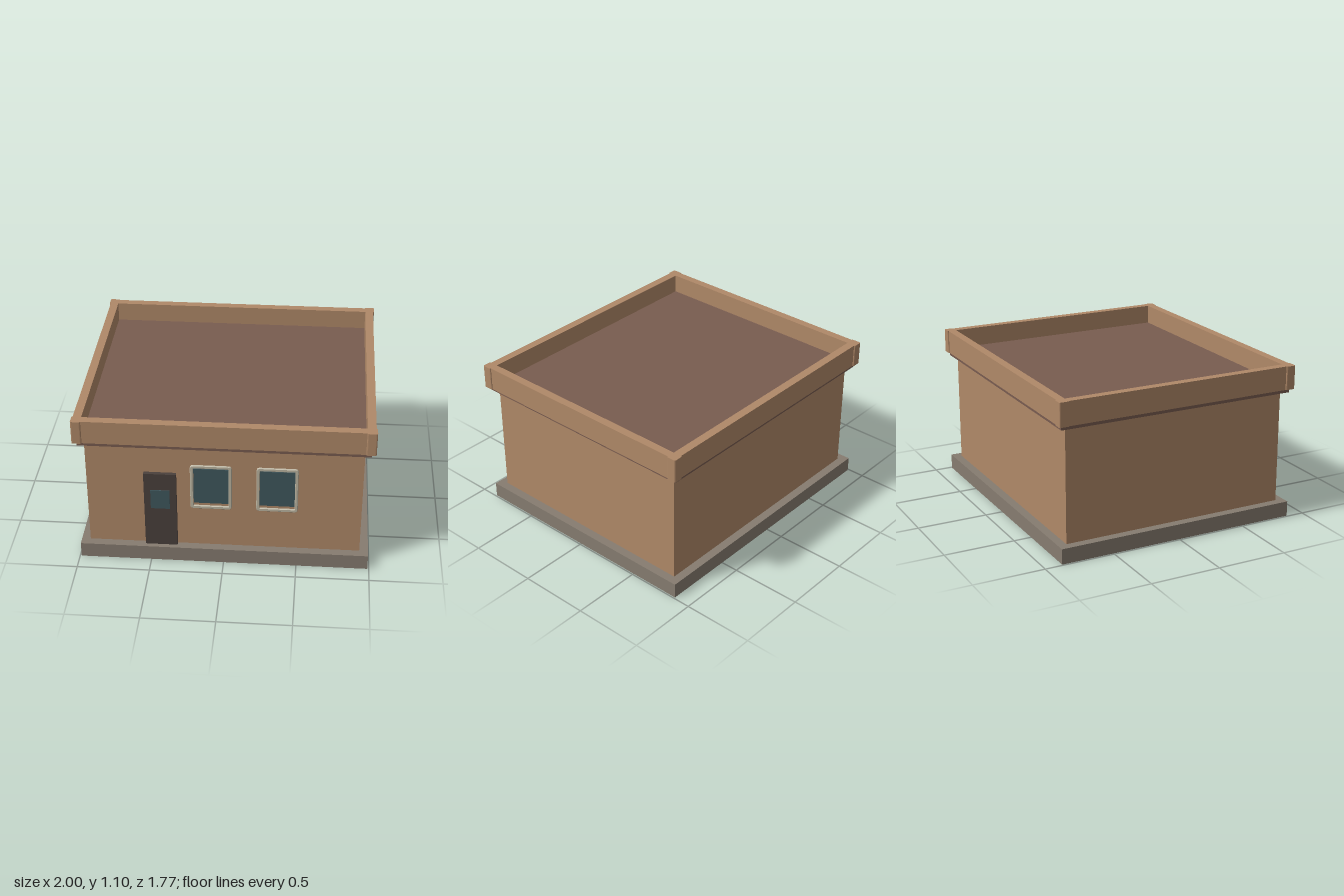
import * as THREE from 'three';

const paint = (color) => new THREE.MeshStandardMaterial({ color, flatShading: true });

// Rectangle with rounded corners, centred on the origin
function roundedRect(target, w, h, r) {
  const x = w / 2, y = h / 2;
  target.moveTo(-x + r, -y);
  target.lineTo(x - r, -y);
  target.quadraticCurveTo(x, -y, x, -y + r);
  target.lineTo(x, y - r);
  target.quadraticCurveTo(x, y, x - r, y);
  target.lineTo(-x + r, y);
  target.quadraticCurveTo(-x, y, -x, y - r);
  target.lineTo(-x, -y + r);
  target.quadraticCurveTo(-x, -y, -x + r, -y);
  return target;
}

export function createModel() {
  const model = new THREE.Group();
  model.name = 'flatRoofHouse';

  const stucco = paint(0xb08968);
  const concrete = paint(0x867c70);
  const roofing = paint(0x795c50);
  const doorPaint = paint(0x4a403c);
  const glass = paint(0x3f575d);
  const trim = paint(0xbdb6a2);

  function add(name, geometry, material, x = 0, y = 0, z = 0, parent = model) {
    const mesh = new THREE.Mesh(geometry, material);
    mesh.name = name;
    mesh.position.set(x, y, z);
    parent.add(mesh);
    return mesh;
  }

  // Box given by its two extremes on each axis
  function box(name, material, [x0, x1], [y0, y1], [z0, z1], parent = model) {
    return add(name, new THREE.BoxGeometry(x1 - x0, y1 - y0, z1 - z0), material,
      (x0 + x1) / 2, (y0 + y1) / 2, (z0 + z1) / 2, parent);
  }

  // Main volumes
  box('foundation', concrete, [-0.99, 0.99], [0, 0.108], [-0.875, 0.875]);
  box('walls', stucco, [-0.93, 0.93], [0.108, 0.908], [-0.815, 0.815]);
  box('roofSlab', roofing, [-0.97, 0.97], [0.908, 0.966], [-0.86, 0.86]);

  // Parapet: four walls between rounded corner posts
  const parapet = new THREE.Group();
  parapet.name = 'parapet';
  model.add(parapet);
  const rise = [0.937, 1.103];
  for (const s of [-1, 1]) {
    const sideName = s > 0 ? 'leftParapet' : 'rightParapet';
    const faceName = s > 0 ? 'frontParapet' : 'backParapet';
    box(sideName, stucco, s > 0 ? [0.935, 0.992] : [-0.992, -0.935], rise, [-0.82, 0.82], parapet);
    box(faceName, stucco, [-0.935, 0.935], rise, s > 0 ? [0.817, 0.876] : [-0.876, -0.817], parapet);
  }
  const postGeometry = new THREE.ExtrudeGeometry(roundedRect(new THREE.Shape(), 0.068, 0.07, 0.01), {
    depth: rise[1] - rise[0], bevelEnabled: false, curveSegments: 3,
  });
  postGeometry.rotateX(-Math.PI / 2);
  for (const sx of [-1, 1]) {
    for (const sz of [-1, 1]) {
      add('cornerPost', postGeometry, stucco, sx * 0.966, rise[0], sz * 0.85, parapet);
    }
  }

  // Door with a small pane
  box('door', doorPaint, [-0.54, -0.32], [0.108, 0.69], [0.813, 0.842]);
  box('doorPane', glass, [-0.495, -0.365], [0.415, 0.562], [0.835, 0.849]);

  // Windows: glass panel with a bevelled frame standing just proud of it
  const frameShape = roundedRect(new THREE.Shape(), 0.27, 0.34, 0.018);
  frameShape.holes.push(roundedRect(new THREE.Path(), 0.25, 0.32, 0.012));
  const outer = roundedRect(new THREE.Shape(), 0.272, 0.34, 0.018);
  outer.holes.push(roundedRect(new THREE.Path(), 0.244, 0.308, 0.008));
  const frameGeometry = new THREE.ExtrudeGeometry(outer, {
    depth: 0.007, bevelEnabled: true, bevelThickness: 0.004, bevelSize: 0.004,
    bevelSegments: 1, curveSegments: 4,
  });
  for (const x of [-0.085, 0.36]) {
    const unit = new THREE.Group();
    unit.name = 'window';
    unit.position.set(x, 0.602, 0);
    model.add(unit);
    add('windowFrame', frameGeometry, trim, 0, 0, 0.837, unit);
    box('windowGlass', glass, [-0.118, 0.118], [-0.137, 0.138], [0.813, 0.832], unit);
  }

  return model;
}
